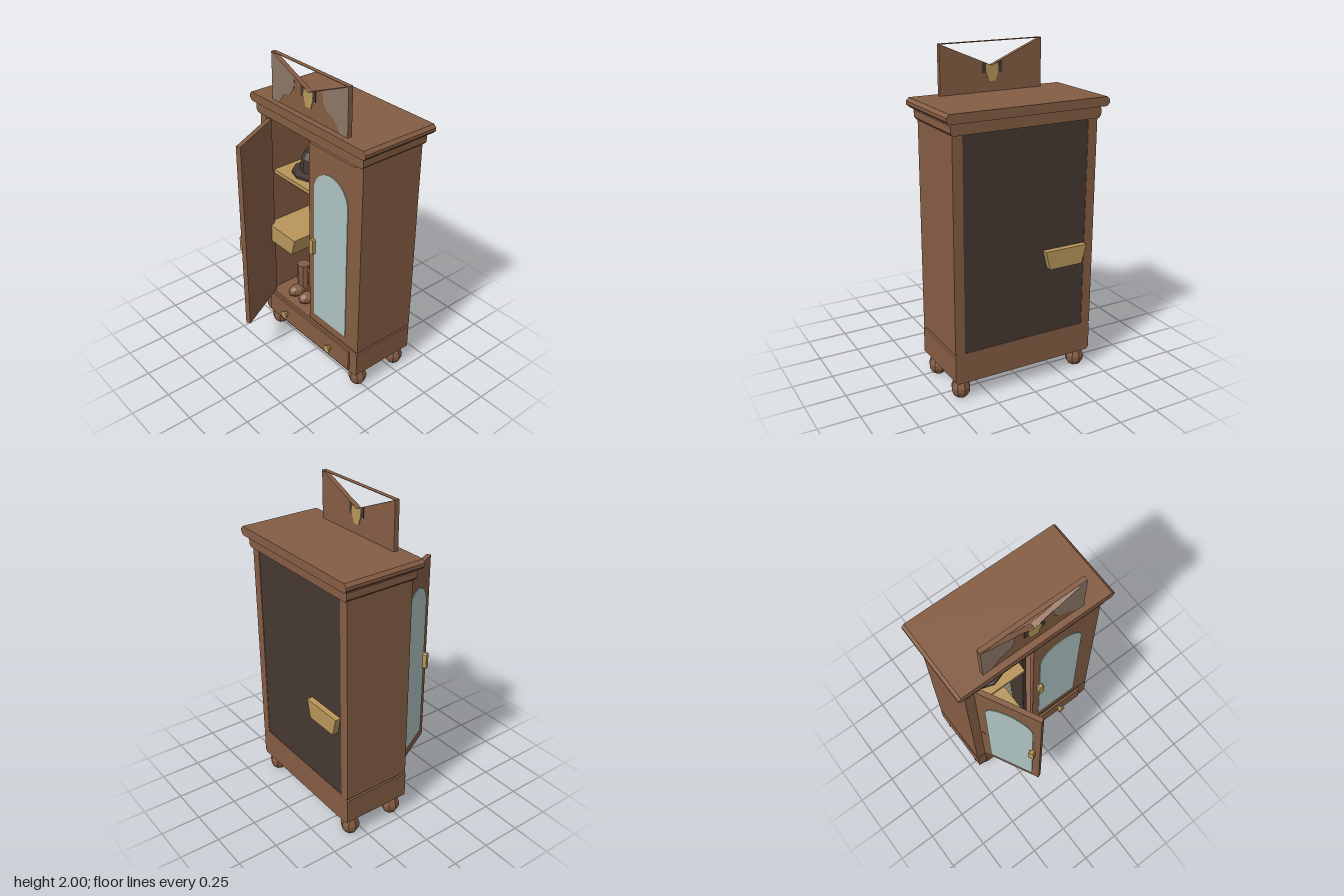
import * as THREE from 'three';

const mat = (name, color, side = THREE.FrontSide) => {
  const m = new THREE.MeshStandardMaterial({ color, side });
  m.name = name;
  return m;
};

export function createModel() {
  const wood = mat('brown wood', 0x855d44);
  const dark = mat('dark wood', 0x463831);
  const brass = mat('brass', 0xb8965a);
  const glass = mat('mirror glass', 0xadc2c2);
  const grey = mat('grey brown', 0x8c7767);

  const root = new THREE.Group();
  root.name = 'wardrobe';

  const add = (name, geo, material, x = 0, y = 0, z = 0, parent = root) => {
    const m = new THREE.Mesh(geo, material);
    m.name = name;
    m.position.set(x, y, z);
    parent.add(m);
    return m;
  };
  // Box given by its extents on each axis
  const box = (name, material, [x0, x1], [y0, y1], [z0, z1], parent = root) =>
    add(name, new THREE.BoxGeometry(x1 - x0, y1 - y0, z1 - z0), material,
      (x0 + x1) / 2, (y0 + y1) / 2, (z0 + z1) / 2, parent);
  // Faceted normals
  const flat = (geo) => {
    const g = geo.index ? geo.toNonIndexed() : geo;
    g.computeVertexNormals();
    return g;
  };
  const polygon = (pts) => new THREE.Shape(pts.map(([x, y]) => new THREE.Vector2(x, y)));
  const extrude = (shape, z0, z1) =>
    new THREE.ExtrudeGeometry(shape, { depth: z1 - z0, bevelEnabled: false, curveSegments: 8 }).translate(0, 0, z0);
  // Moulding with chamfered corners, running front to back
  const chamfered = (hw, y0, y1, c, z0, z1) => extrude(polygon([
    [-hw + c, y0], [hw - c, y0], [hw, y0 + c], [hw, y1 - c],
    [hw - c, y1], [-hw + c, y1], [-hw, y1 - c], [-hw, y0 + c]]), z0, z1);

  // Plinth, cornice and carcass
  add('plinth', chamfered(0.46, 0.11, 0.3, 0.015, -0.375, 0.067), wood);
  add('lowerCornice', chamfered(0.475, 1.585, 1.655, 0.015, -0.39, 0.08), wood);
  add('upperCornice', chamfered(0.512, 1.655, 1.71, 0.018, -0.418, 0.1), wood);
  for (const s of [-1, 1]) {
    box(s < 0 ? 'rightSide' : 'leftSide', wood,
      s < 0 ? [-0.46, -0.4] : [0.4, 0.46], [0.3, 1.585], [-0.375, 0.063]);
  }
  box('backPanel', dark, [-0.4, 0.4], [0.3, 1.585], [-0.372, -0.352]);
  box('topRail', dark, [-0.4, 0.4], [1.562, 1.585], [-0.352, 0.05]);
  box('divider', dark, [-0.03, -0.005], [0.3, 1.562], [-0.352, 0]);

  // Drawer with two knobs
  box('drawerFront', wood, [-0.4, 0.395], [0.13, 0.275], [0.06, 0.08]);
  for (const x of [-0.222, 0.22]) {
    const knob = flat(new THREE.CylinderGeometry(0.028, 0.02, 0.022, 8).rotateX(Math.PI / 2));
    add('drawerKnob', knob, brass, x, 0.2, 0.1);
    add('knobStem', flat(new THREE.CylinderGeometry(0.012, 0.012, 0.02, 6).rotateX(Math.PI / 2)), brass, x, 0.2, 0.085);
  }

  // Bun feet
  const footProfile = [[0, 0], [0.038, 0], [0.055, 0.03], [0.058, 0.06], [0.046, 0.095], [0.035, 0.115], [0, 0.115]]
    .map(([x, y]) => new THREE.Vector2(x, y));
  for (const x of [-0.4, 0.4]) for (const z of [0, -0.312]) {
    add('foot', flat(new THREE.LatheGeometry(footProfile, 8)), wood, x, 0, z);
  }

  // Doors, with the hinge at the group's origin; s is the direction away from the hinge
  const makeDoor = (name, s) => {
    const g = new THREE.Group();
    g.name = name;
    const span = (a, b) => (s > 0 ? [a, b] : [-b, -a]);
    box('doorPanel', wood, span(0, 0.4), [0.3, 1.56], [-0.029, 0], g);
    const arch = new THREE.Shape();
    const [x0, x1] = span(0.055, 0.352);
    const r = (x1 - x0) / 2;
    arch.moveTo(x0, 0.36);
    arch.lineTo(x1, 0.36);
    arch.lineTo(x1, 1.42 - r);
    arch.absarc(x0 + r, 1.42 - r, r, 0, Math.PI, false);
    arch.lineTo(x0, 0.36);
    add('mirror', extrude(arch, 0, 0.004), glass, 0, 0, 0, g);
    const [h0, h1] = span(0.335, 0.37);
    const c = 0.008;
    add('handle', extrude(polygon([
      [h0 + c, 0.828], [h1 - c, 0.828], [h1, 0.836], [h1, 0.925],
      [h1 - c, 0.933], [h0 + c, 0.933], [h0, 0.925], [h0, 0.836]]), 0, 0.028), brass, 0, 0, 0, g);
    root.add(g);
    return g;
  };
  makeDoor('leftDoor', -1).position.set(0.4, 0, 0.063);
  const open = makeDoor('rightDoor', 1);
  open.position.set(-0.4, 0, 0.06);
  open.rotation.y = -1.086;

  // Pediment with a notched top and a thin rail across it
  add('pediment', extrude(polygon([
    [-0.33, 1.71], [0.33, 1.71], [0.33, 2], [0, 1.86], [-0.33, 2]]), 0.035, 0.063), wood);
  box('pedimentRail', wood, [-0.33, 0.33], [1.997, 2], [0.035, 0.063]);
  for (const s of [-1, 1]) {
    const corner = [[0.33, 1.71], [0.33, 2], [0.12, 1.911], [0.13, 1.84],
      [0.16, 1.8], [0.22, 1.775], [0.27, 1.71]];
    const pts = corner.map(([x, y]) => [s * x, y]);
    add('pedimentCorner', extrude(polygon(pts), 0.063, 0.065), grey);
    for (const [z0, z1] of [[0.063, 0.066], [0.032, 0.035]]) {
      add('crestFlank', extrude(polygon([
        [s * 0.035, 1.82], [s * 0.065, 1.82], [s * 0.065, 1.887], [s * 0.035, 1.874]]), z0, z1), dark);
    }
  }
  for (const [z0, z1] of [[0.063, 0.067], [0.031, 0.035]]) {
    add('crest', extrude(polygon([
      [-0.022, 1.77], [0.022, 1.77], [0.042, 1.83], [0.038, 1.874], [0, 1.86], [-0.038, 1.874], [-0.042, 1.83]]), z0, z1), brass);
  }

  // Shelf, hanging rod and tapered crate
  box('shelf', brass, [-0.4, -0.03], [1.175, 1.2], [-0.352, 0.02]);
  add('rod', flat(new THREE.CylinderGeometry(0.011, 0.011, 0.37, 8).rotateZ(Math.PI / 2)), brass, -0.215, 1.07, -0.1);
  add('crate', extrude(polygon([
    [-0.365, 0.72], [-0.145, 0.72], [-0.115, 0.835], [-0.395, 0.835]]), -0.408, 0.09), brass);

  // Striped scarf hanging from the rod
  const scarf = new THREE.Group();
  scarf.name = 'scarf';
  const bands = 13, bandH = 0.54 / bands;
  for (let i = 0; i < bands; i++) {
    add('scarfBand', new THREE.BoxGeometry(0.085, bandH, 0.04), i % 2 ? brass : glass, 0, -(i + 0.5) * bandH, 0, scarf);
  }
  scarf.position.set(-0.115, 1.05, -0.11);
  scarf.rotation.z = 0.045;
  root.add(scarf);

  // Hat on the shelf
  const hatProfile = [[0, 0], [0.135, 0], [0.135, 0.015], [0.085, 0.025], [0.075, 0.11], [0.05, 0.15], [0, 0.15]]
    .map(([x, y]) => new THREE.Vector2(x, y));
  add('hat', flat(new THREE.LatheGeometry(hatProfile, 10)), dark, -0.22, 1.2, -0.15);

  // Pair of boots
  for (const x of [-0.235, -0.13]) {
    add('bootShaft', flat(new THREE.CylinderGeometry(0.044, 0.04, 0.22, 8)), wood, x, 0.42, -0.075);
    const toe = flat(new THREE.SphereGeometry(0.05, 8, 6));
    toe.scale(0.95, 0.8, 1.4);
    add('bootToe', flat(toe), wood, x, 0.34, -0.02);
  }
  return root;
}
